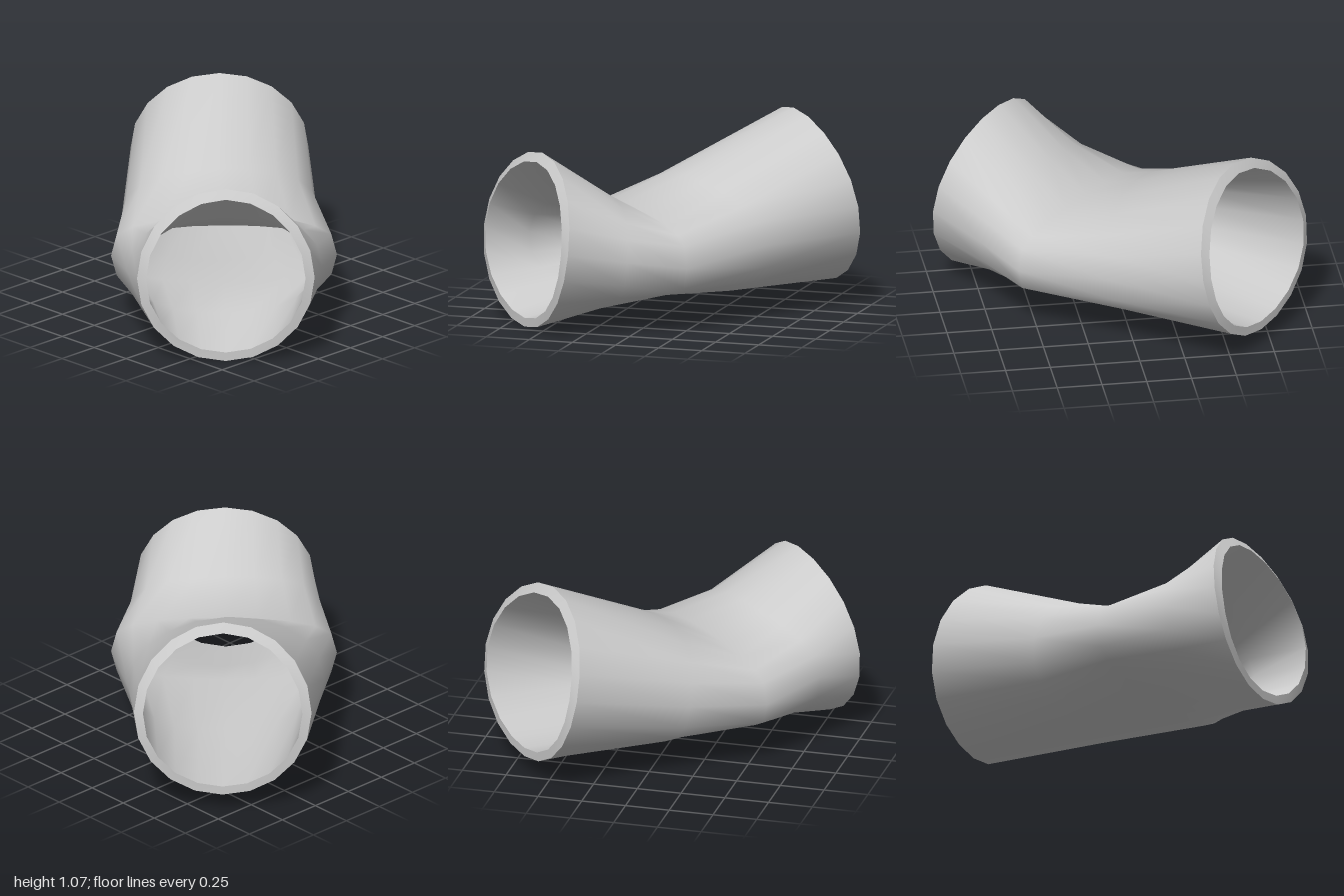
import * as THREE from 'three';

const SIDES = 20;
const WALL = 0.05;

// Cross-sections along the tube: side, top and bottom stations along the axis,
// lean of the sides, sideways shift, half width, top, widest and bottom heights,
// and fullness (1 is an ellipse, less is flatter and boxier)
const SECTIONS = [
  { u: -0.91, uTop: -0.81, uBot: -0.92, lean: 0.01, shift: 0.02, half: 0.49, top: 0.97, mid: 0.485, bot: 0.0, full: 1 },
  { u: -0.595, uTop: -0.45, uBot: -0.52, lean: 0.043, shift: 0.013, half: 0.537, top: 0.725, mid: 0.42, bot: 0.085, full: 0.8 },
  { u: -0.235, uTop: -0.22, uBot: -0.22, lean: 0.01, shift: 0.008, half: 0.623, top: 0.59, mid: 0.37, bot: 0.155, full: 0.52 },
  { u: 0.27, uTop: 0.09, uBot: 0.26, lean: 0.06, shift: -0.02, half: 0.538, top: 0.755, mid: 0.43, bot: 0.1, full: 0.8 },
  { u: 0.912, uTop: 0.77, uBot: 0.955, lean: 0.008, shift: -0.02, half: 0.49, top: 1.07, mid: 0.585, bot: 0.097, full: 1 },
];

// One closed oval ring, moved inward by inset and along the axis by flare
function ring(s, inset, flare) {
  const points = [];
  const tilt = (s.uTop - s.uBot) / 2;
  const bow = (s.uTop + s.uBot) / 2 - s.u;
  for (let j = 0; j < SIDES; j++) {
    const a = (j / SIDES) * Math.PI * 2;
    const sin = Math.sin(a), cos = Math.cos(a);
    const u = s.u + tilt * sin + bow * sin * sin + s.lean * cos + flare * (1 + sin) / 2;
    const v = s.shift + (s.half - inset) * cos;
    const tall = (sin > 0 ? s.top - s.mid : s.mid - s.bot) - inset;
    const y = s.mid + tall * Math.sign(sin) * Math.abs(sin) ** s.full;
    // The axis lies diagonally across x and z
    points.push(new THREE.Vector3((u + v) * Math.SQRT1_2, y, (v - u) * Math.SQRT1_2));
  }
  return points;
}

// Smooth skin joining rings in order
function skin(name, rings, material) {
  const index = [];
  for (let i = 0; i < rings.length - 1; i++) {
    for (let j = 0; j < SIDES; j++) {
      const k = (j + 1) % SIDES;
      const a = i * SIDES + j, b = i * SIDES + k;
      const c = a + SIDES, d = b + SIDES;
      index.push(a, c, b, b, c, d);
    }
  }
  const geometry = new THREE.BufferGeometry().setFromPoints(rings.flat());
  geometry.setIndex(index);
  geometry.computeVertexNormals();
  const mesh = new THREE.Mesh(geometry, material);
  mesh.name = name;
  return mesh;
}

export function createModel() {
  const group = new THREE.Group();
  group.name = 'pinchedTube';
  const material = new THREE.MeshStandardMaterial({ color: 0xcccccc });

  const last = SECTIONS.length - 1;
  const outer = SECTIONS.map((s) => ring(s, 0, 0));
  // The inner edge of each mouth stands slightly proud
  const inner = SECTIONS.map((s, i) => ring(s, WALL, i === 0 ? -0.035 : i === last ? 0.035 : 0));

  group.add(
    skin('outerWall', outer, material),
    skin('innerWall', [...inner].reverse(), material),
    // Rims close the wall at both mouths
    skin('frontRim', [inner[0], outer[0]], material),
    skin('backRim', [outer[last], inner[last]], material),
  );
  return group;
}
